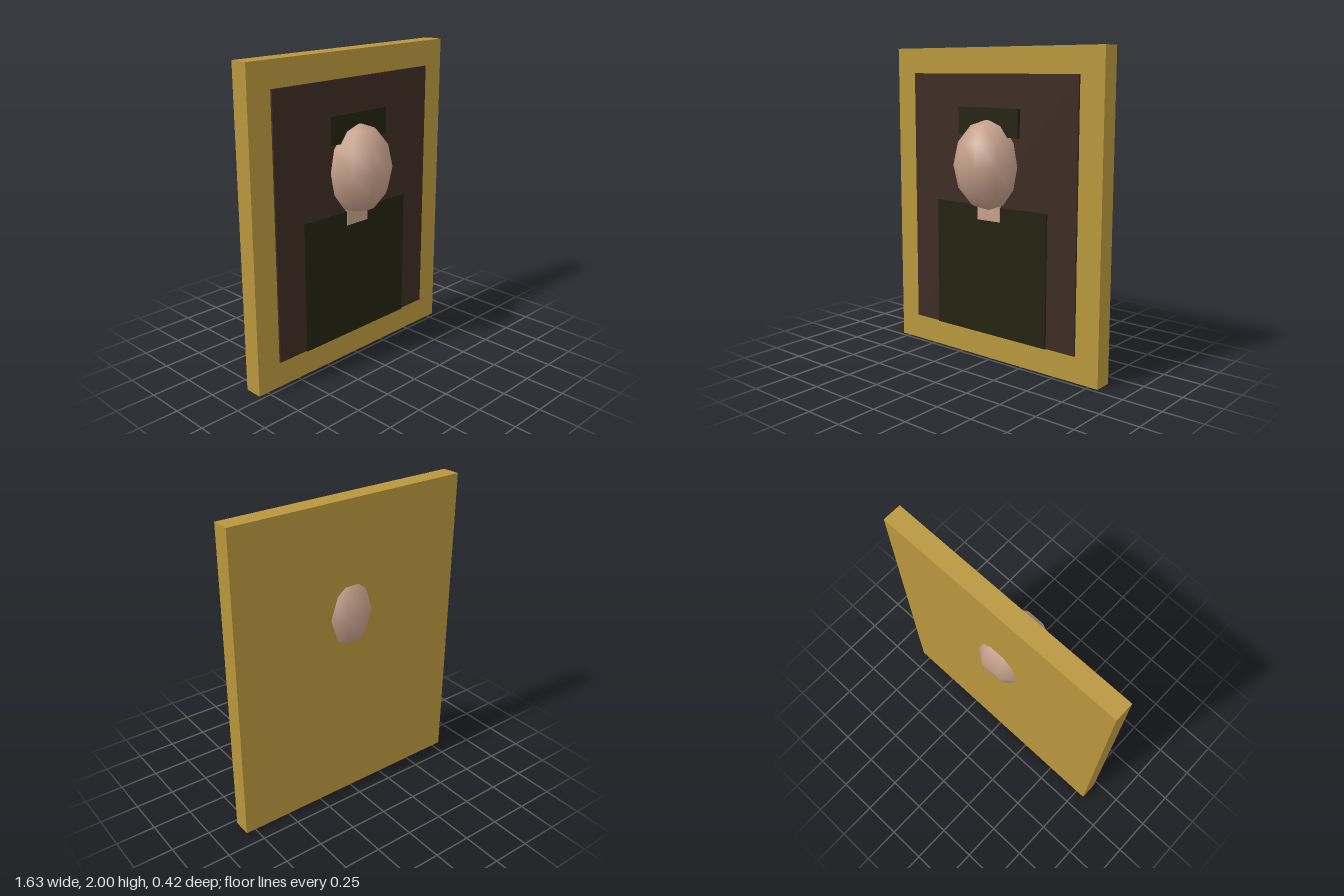
import * as THREE from 'three';

function material(name, color) {
  const m = new THREE.MeshStandardMaterial({ color });
  m.name = name;
  return m;
}

export function createModel() {
  const group = new THREE.Group();
  group.name = 'framedPortrait';
  const gold = material('gold', 0xb8963c);
  const brown = material('darkBrown', 0x3d2b23);
  const olive = material('darkOlive', 0x23210f);
  const skin = material('skin', 0xc49f8a);

  // Box given by its half width and its y and z limits, centred on x
  function slab(name, mat, halfWidth, y0, y1, z0, z1) {
    const mesh = new THREE.Mesh(new THREE.BoxGeometry(2 * halfWidth, y1 - y0, z1 - z0), mat);
    mesh.position.set(0, (y0 + y1) / 2, (z0 + z1) / 2);
    mesh.name = name;
    group.add(mesh);
  }

  // Frame board and the layers stacked on its front
  slab('frame', gold, 0.813, 0, 2, -0.147, -0.029);
  slab('canvas', brown, 0.65, 0.17, 1.838, -0.034, -0.0165);
  slab('coat', olive, 0.443, 0.17, 1.012, -0.028, -0.006);
  slab('neck', skin, 0.09, 0.92, 1.1, -0.02, 0.0);
  slab('hat', olive, 0.237, 1.455, 1.63, -0.009, 0.015);

  // Egg-shaped head, passing through the board
  const head = new THREE.Mesh(new THREE.SphereGeometry(0.22, 10, 6), skin);
  head.scale.y = 1.3;
  head.position.y = 1.276;
  head.name = 'head';
  group.add(head);

  return group;
}
